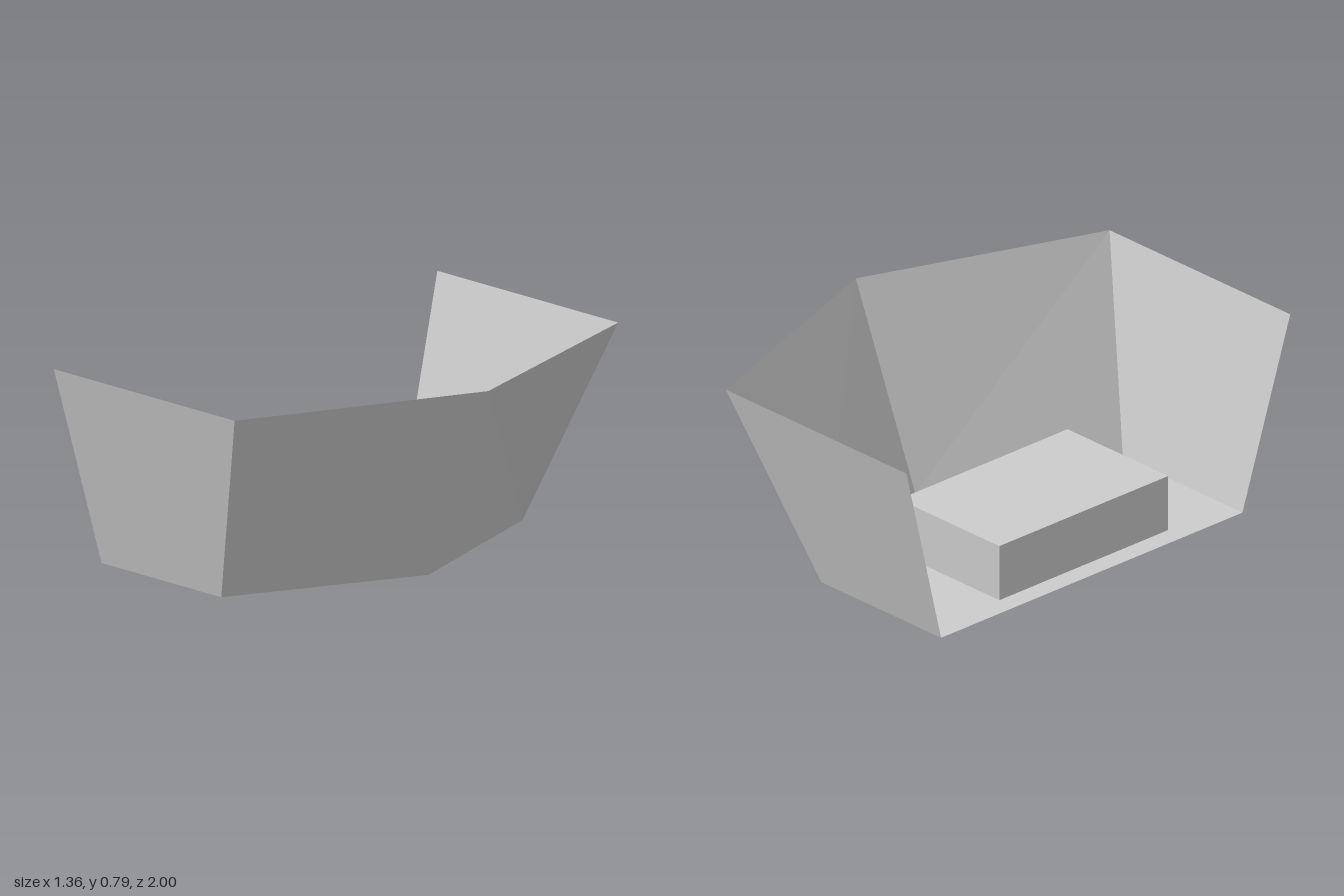
import * as THREE from 'three';

const HEIGHT = 0.79;
// Plan outlines [x, z], running from the open side's back corner round the tip
const FLOOR = [[-0.625, -0.768], [0.035, -0.768], [0.347, 0.016], [0.035, 0.803], [-0.625, 0.803]];
const RIM = [[-0.68, -1], [0.317, -1], [0.675, 0.016], [0.317, 1], [-0.68, 1]];

const sheetMaterial = new THREE.MeshStandardMaterial({
  color: 0xcccccc, flatShading: true, side: THREE.DoubleSide,
});

// Flat convex sheet drawn as a fan from its first corner
function sheet(name, corners) {
  const geometry = new THREE.BufferGeometry();
  const points = [];
  for (let i = 1; i < corners.length - 1; i++) {
    points.push(...corners[0], ...corners[i], ...corners[i + 1]);
  }
  geometry.setAttribute('position', new THREE.Float32BufferAttribute(points, 3));
  geometry.computeVertexNormals();
  const mesh = new THREE.Mesh(geometry, sheetMaterial);
  mesh.name = name;
  return mesh;
}

export function createModel() {
  const group = new THREE.Group();
  group.name = 'openShelter';

  // Floor, ordered so its upper side is the front
  group.add(sheet('floor', FLOOR.map(([x, z]) => [x, 0, z]).reverse()));

  // Four outward-leaning walls; the -x side stays open
  const names = ['backWall', 'backTipWall', 'frontTipWall', 'frontWall'];
  names.forEach((name, i) => {
    const low = (k) => [FLOOR[k][0], 0, FLOOR[k][1]];
    const high = (k) => [RIM[k][0], HEIGHT, RIM[k][1]];
    group.add(sheet(name, [low(i), high(i), high(i + 1), low(i + 1)]));
  });

  // Block set just above the floor
  const block = new THREE.Mesh(
    new THREE.BoxGeometry(0.555, 0.228, 0.88),
    new THREE.MeshStandardMaterial({ color: 0xcccccc, flatShading: true }),
  );
  block.name = 'seatBlock';
  block.position.set(-0.305, 0.142, 0.016);
  group.add(block);

  return group;
}
